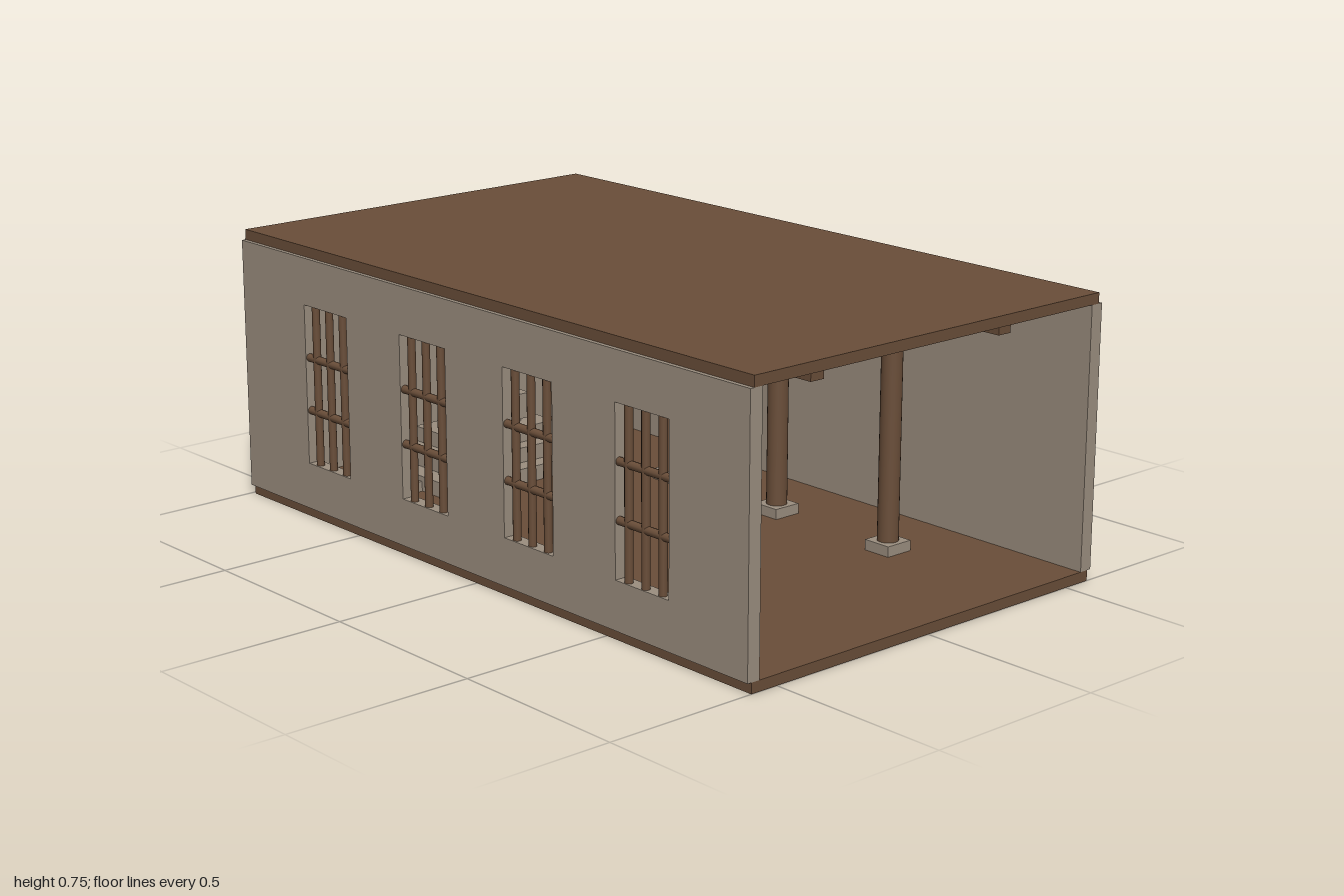
import * as THREE from 'three';

export function createModel() {
  const hall = new THREE.Group();
  hall.name = 'hall';

  const mat = (name, color) => {
    const m = new THREE.MeshStandardMaterial({ color });
    m.name = name;
    return m;
  };
  const stone = mat('stone', 0x9c8f80);
  const wood = mat('wood', 0x6a4e39);
  const bronze = mat('bronze', 0xc4a174);

  const add = (name, geometry, material, x, y, z) => {
    const mesh = new THREE.Mesh(geometry, material);
    mesh.name = name;
    mesh.position.set(x, y, z);
    hall.add(mesh);
    return mesh;
  };
  // Box given by its x, y and z ranges
  const box = (name, material, x0, x1, y0, y1, z0, z1) =>
    add(name, new THREE.BoxGeometry(x1 - x0, y1 - y0, z1 - z0), material,
      (x0 + x1) / 2, (y0 + y1) / 2, (z0 + z1) / 2);
  // Upright cylinder standing between two heights
  const post = (name, material, r, x, y0, y1, z, sides = 24) =>
    add(name, new THREE.CylinderGeometry(r, r, y1 - y0, sides), material, x, (y0 + y1) / 2, z);

  const FLOOR = 0.028, CEILING = 0.717;
  const INNER = 0.555, OUTER = 0.592;

  // Shell
  box('floor', wood, -0.58, 0.58, 0, FLOOR, -0.988, 1);
  box('roof', wood, -0.58, 0.58, CEILING, 0.745, -0.988, 1);
  box('backWall', stone, -0.574, 0.574, FLOOR, CEILING, -1, -0.963);
  box('leftWall', stone, INNER, OUTER, FLOOR, CEILING, -0.988, 1);

  // Right wall with four window openings
  const rect = (target, u0, u1, v0, v1) => {
    target.moveTo(u0, v0);
    target.lineTo(u1, v0);
    target.lineTo(u1, v1);
    target.lineTo(u0, v1);
    target.closePath();
    return target;
  };
  const windows = [-0.61, -0.193, 0.223, 0.64];
  const sill = 0.155, lintel = 0.59, half = 0.094;
  const wallShape = rect(new THREE.Shape(), -0.988, 1, FLOOR, CEILING);
  for (const z of windows) {
    wallShape.holes.push(rect(new THREE.Path(), z - half, z + half, sill, lintel));
  }
  const wall = new THREE.ExtrudeGeometry(wallShape, { depth: OUTER - INNER, bevelEnabled: false });
  wall.rotateY(-Math.PI / 2);
  add('rightWall', wall, stone, -INNER, 0, 0);

  // Window lattices
  for (const z of windows) {
    for (const dz of [-0.06, 0, 0.06]) {
      post('windowUpright', wood, 0.011, -0.579, sill, lintel, z + dz, 10);
    }
    for (const y of [0.3, 0.445]) {
      const bar = post('windowCrossbar', wood, 0.011, -0.579, y - half, y + half, z, 10);
      bar.rotation.x = Math.PI / 2;
    }
  }

  // Two rows of columns, tied by cross beams and long beams
  const bays = [0.56, 0.15, -0.26, -0.67];
  for (const z of bays) {
    for (const x of [-0.317, 0.317]) {
      box('columnBase', stone, x - 0.041, x + 0.041, FLOOR, 0.056, z - 0.041, z + 0.041);
      post('column', wood, 0.028, x, 0.056, CEILING, z);
    }
    box('crossBeam', wood, -INNER, INNER, 0.655, 0.687, z - 0.018, z + 0.018);
  }
  for (const x of [-0.317, 0.317]) {
    box('longBeam', wood, x - 0.021, x + 0.021, 0.671, 0.713, -0.963, 0.93);
  }

  // Stepped altar at the back
  const altarZ = -0.7;
  const steps = [[0.275, 0.07, 0.2], [0.22, 0.112, 0.15], [0.163, 0.154, 0.105]];
  let y = FLOOR;
  for (const [w, top, d] of steps) {
    box('altarStep', stone, -w, w, y, top, altarZ - d, altarZ + d);
    y = top;
  }
  box('altarPlinth', stone, -0.09, 0.09, y, 0.165, altarZ - 0.05, altarZ + 0.05);
  box('altarBlock', stone, -0.108, 0.108, 0.165, 0.237, altarZ - 0.065, altarZ + 0.065);
  for (const x of [-0.077, 0.077]) {
    post('candle', stone, 0.006, x, 0.237, 0.284, altarZ, 12);
    add('candleFlame', new THREE.ConeGeometry(0.006, 0.015, 12), stone, x, 0.2915, altarZ);
  }

  // Hanging egg-shaped lantern
  post('lanternRod', wood, 0.006, 0, 0.59, CEILING, -0.26, 10);
  const lantern = add('lantern', new THREE.SphereGeometry(0.082, 32, 24), bronze, 0, 0.497, -0.26);
  lantern.scale.y = 1.3;

  return hall;
}
